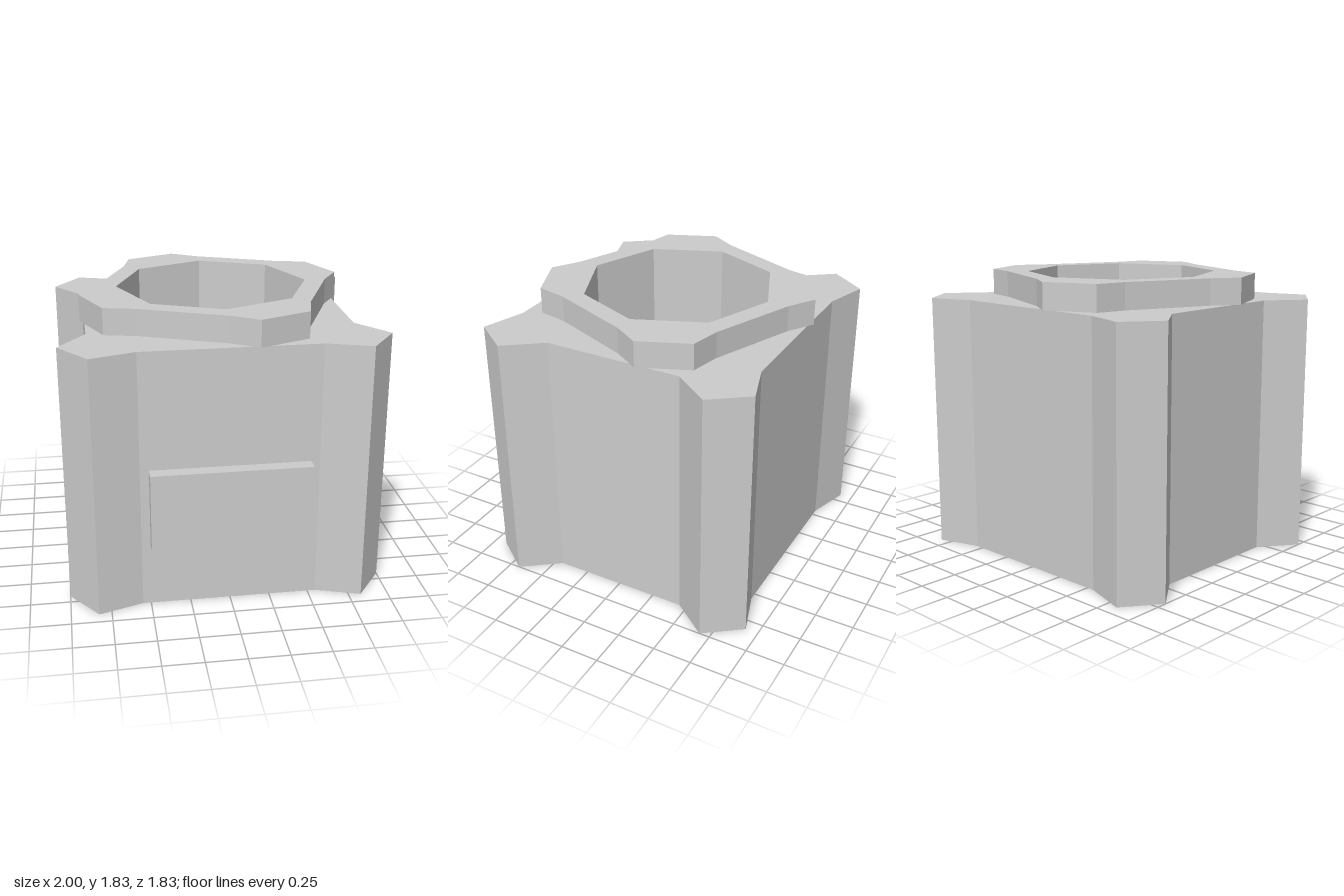
import * as THREE from 'three';

const BODY_TOP = 1.658, RING_TOP = 1.825, FLOOR = 0.17, HOLE_RADIUS = 0.612;

// Extrude an [x, z] outline vertically, optionally pierced by the octagonal well
function prism(outline, bottom, top, pierced) {
  const shape = new THREE.Shape(outline.map(([x, z]) => new THREE.Vector2(x, -z)));
  if (pierced) {
    const hole = [];
    for (let i = 0; i < 8; i++) {
      const a = i * Math.PI / 4;
      hole.push(new THREE.Vector2(Math.cos(a) * HOLE_RADIUS, Math.sin(a) * HOLE_RADIUS));
    }
    shape.holes.push(new THREE.Path(hole));
  }
  return new THREE.ExtrudeGeometry(shape, { depth: top - bottom, bevelEnabled: false })
    .rotateX(-Math.PI / 2)
    .translate(0, bottom, 0);
}

export function createModel() {
  const group = new THREE.Group();
  const grey = new THREE.MeshStandardMaterial({ color: 0xcccccc });
  grey.name = 'light grey';

  const add = (name, geometry) => {
    const mesh = new THREE.Mesh(geometry, grey);
    mesh.name = name;
    group.add(mesh);
  };

  // Square body with four flared corner buttresses, mirrored from one corner
  const corner = [[0.825, 0.447], [1, 0.683], [0.828, 0.917], [0.55, 0.827]];
  const mirror = (sx, sz) => corner.map(([x, z]) => [x * sx, z * sz]);
  const bodyOutline = [
    ...mirror(1, 1), ...mirror(-1, 1).reverse(),
    ...mirror(-1, -1), ...mirror(1, -1).reverse(),
  ];
  add('bodyWalls', prism(bodyOutline, FLOOR, BODY_TOP, true));
  add('bodyBase', prism(bodyOutline, 0, FLOOR, false));

  // Pinwheel rim: one quarter of the outline turned four times
  let quarter = [[-0.168, -0.853], [0, -0.747], [0.526, -0.528], [0.722, -0.484]];
  const rimOutline = [];
  for (let i = 0; i < 4; i++) {
    rimOutline.push(...quarter);
    quarter = quarter.map(([x, z]) => [-z, x]);
  }
  add('rim', prism(rimOutline, BODY_TOP, RING_TOP, true));

  // Raised label plate on the front
  add('frontPlate', new THREE.BoxGeometry(0.99, 0.495, 0.09).translate(0, 0.664, 0.868));

  return group;
}
